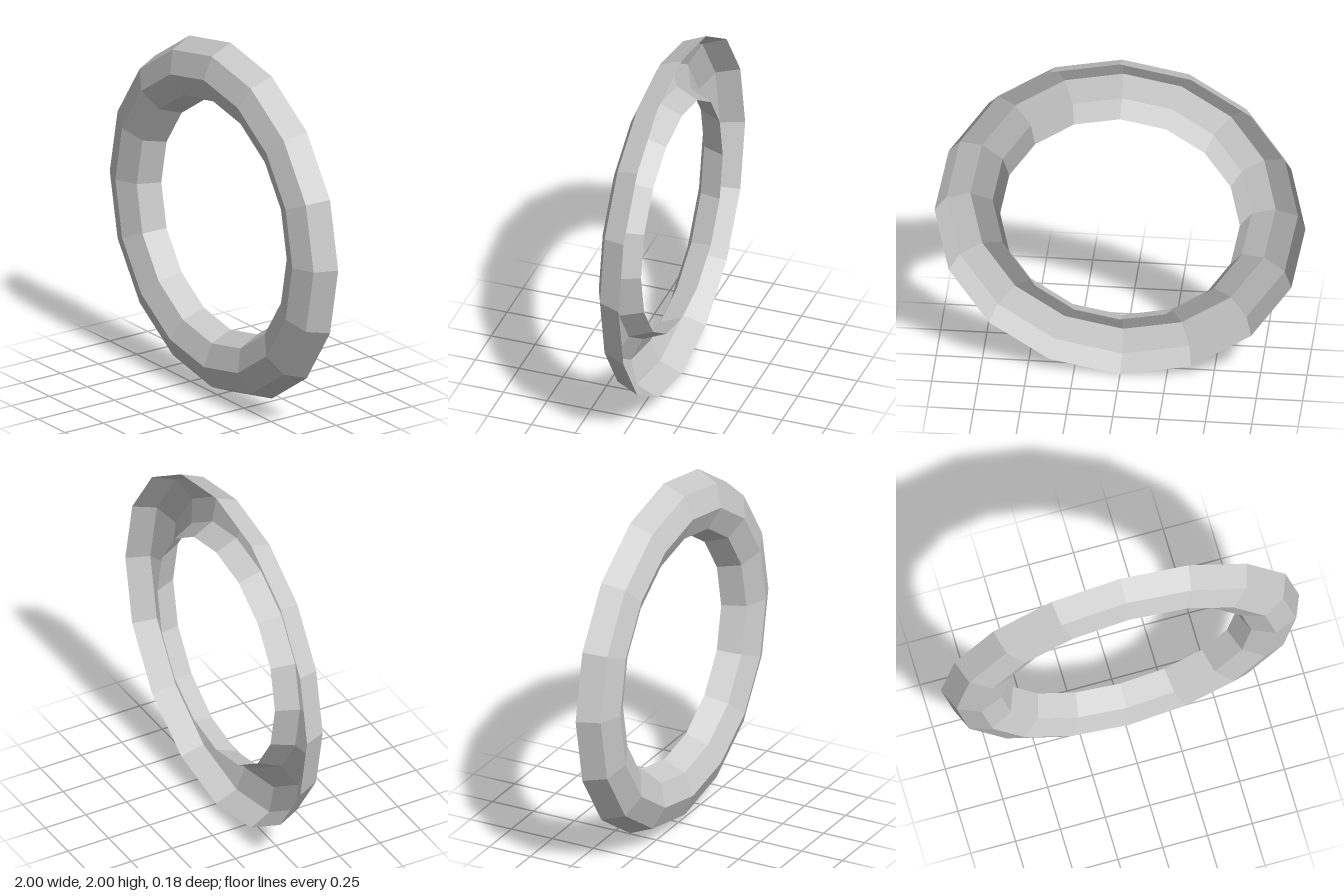
import * as THREE from 'three';

export function createModel() {
  const model = new THREE.Group();
  const ringRadius = 0.823, tubeRadius = 0.177;

  // Half-round section, open at the back, from outer rim to inner rim
  const profile = [];
  for (let i = 0; i <= 4; i++) {
    const a = (i / 4) * Math.PI;
    profile.push(new THREE.Vector2(
      ringRadius + tubeRadius * Math.cos(a),
      tubeRadius * (Math.sin(a) - 0.5)
    ));
  }

  // Sixteen-sided ring, turned so its rounded side faces the front
  const geometry = new THREE.LatheGeometry(profile, 16);
  geometry.rotateX(Math.PI / 2);

  const material = new THREE.MeshStandardMaterial({
    color: 0xcccccc, flatShading: true, side: THREE.DoubleSide,
  });
  const ring = new THREE.Mesh(geometry, material);
  ring.name = 'halfRoundRing';
  ring.position.y = 1;
  model.add(ring);
  return model;
}
